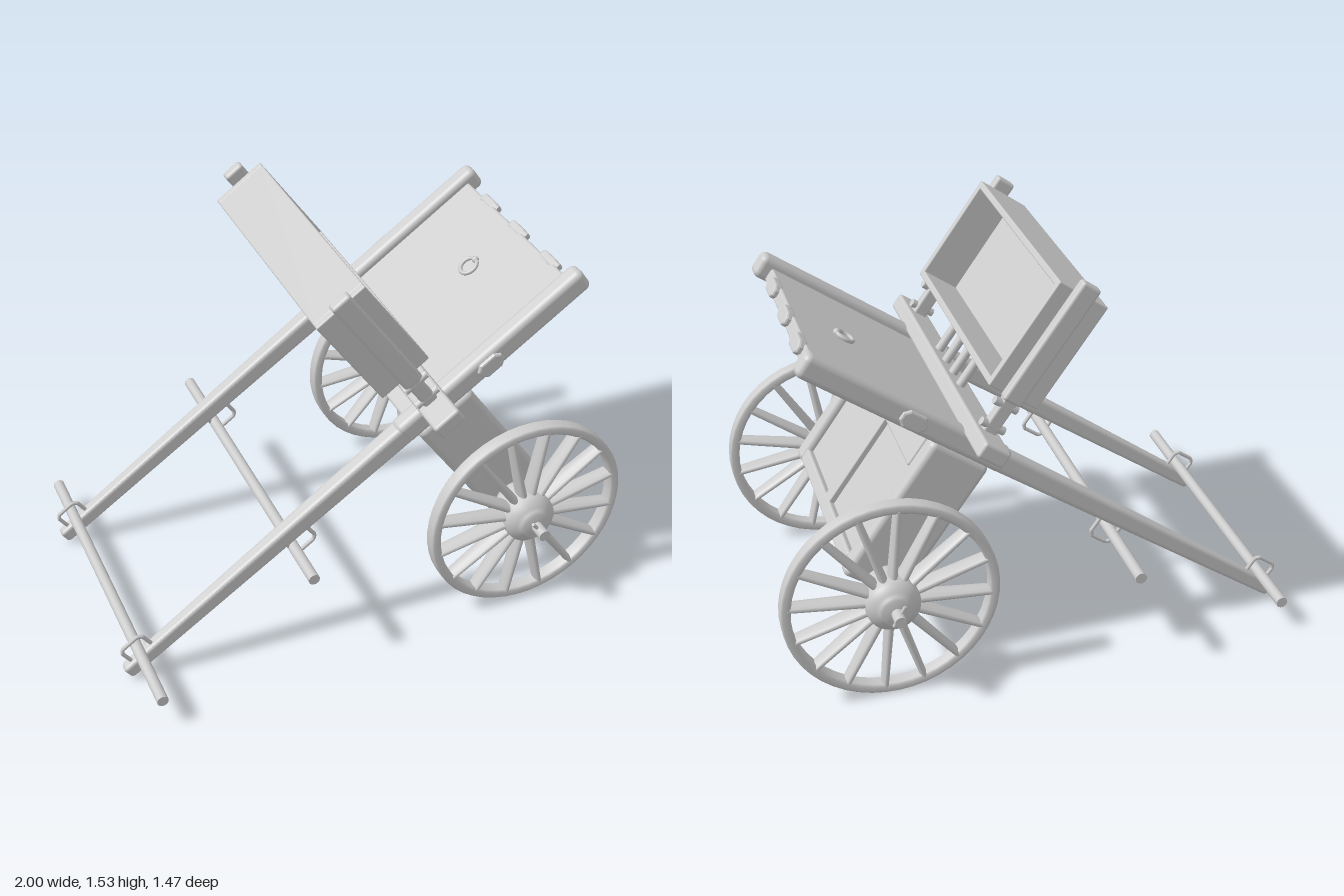
import * as THREE from 'three';
import { RoundedBoxGeometry } from 'three/addons/geometries/RoundedBoxGeometry.js';

const mat = new THREE.MeshStandardMaterial({ color: 0xcccccc });

export function createModel() {
  const model = new THREE.Group();
  // Tilted frame: x runs up along the shafts, y away from them, origin on the axle
  const cart = new THREE.Group();
  cart.name = 'cart';
  cart.position.set(0.59, 0.41, 0);
  cart.rotation.z = THREE.MathUtils.degToRad(35.3);
  model.add(cart);

  function add(name, geometry, x = 0, y = 0, z = 0, parent = cart) {
    const mesh = new THREE.Mesh(geometry, mat);
    mesh.name = name;
    mesh.position.set(x, y, z);
    parent.add(mesh);
    return mesh;
  }
  // Rounded beam given by its limits on each axis
  function beam(name, [x0, x1], [y0, y1], [z0, z1], r = 0.01) {
    const g = new RoundedBoxGeometry(x1 - x0, y1 - y0, z1 - z0, 3, r);
    return add(name, g, (x0 + x1) / 2, (y0 + y1) / 2, (z0 + z1) / 2);
  }
  function mirrored(name, xs, ys, [z0, z1], r) {
    beam(name, xs, ys, [z0, z1], r);
    beam(name, xs, ys, [-z1, -z0], r);
  }
  function rod(name, radius, z0, z1, x, y) {
    const g = new THREE.CylinderGeometry(radius, radius, z1 - z0, 16).rotateX(Math.PI / 2);
    return add(name, g, x, y, (z0 + z1) / 2);
  }

  // Shafts: straight upper half, lower half tapering to the handles
  for (const s of [-1, 1]) {
    beam('upperShaft', [-0.15, 0.74], [0.562, 0.658], [s * 0.425 - 0.039, s * 0.425 + 0.039], 0.025);
    const L = 1.5;
    const g = new RoundedBoxGeometry(L, 0.09, 0.074, 3, 0.02);
    const p = g.attributes.position;
    for (let i = 0; i < p.count; i++) {
      const k = THREE.MathUtils.lerp(0.65, 1, p.getX(i) / L + 0.5);
      p.setY(i, p.getY(i) * k);
      p.setZ(i, p.getZ(i) * k);
    }
    g.computeVertexNormals();
    add('lowerShaft', g, -0.755, 0.607, s * 0.425);
  }

  // Cross rods at the handles, held by wire staples
  rod('handleRod', 0.022, -0.65, 0.71, -1.412, 0.65);
  rod('supportRod', 0.022, -0.735, 0.63, -0.729, 0.53);
  function staple(x, y, s) {
    const path = new THREE.CurvePath();
    const pts = [[-0.05, -0.045], [-0.05, 0.03], [-0.035, 0.045], [0.035, 0.045], [0.05, 0.03], [0.05, -0.045]]
      .map(([a, b]) => new THREE.Vector3(a, b * s, 0));
    for (let i = 1; i < pts.length; i++) path.add(new THREE.LineCurve3(pts[i - 1], pts[i]));
    for (const z of [-0.425, 0.425]) add('staple', new THREE.TubeGeometry(path, 40, 0.008, 8), x, y, z);
  }
  staple(-1.41, 0.66, 1);
  staple(-0.69, 0.535, -1);

  // Deck board with its end bolts and pull ring
  beam('deckBoard', [-0.1, 0.69], [0.57, 0.625], [-0.395, 0.395]);
  const lens = (a, b, depth) => {
    const shape = new THREE.Shape([[-a, -b * 0.4], [-a * 0.6, -b], [a * 0.6, -b], [a, -b * 0.4],
      [a, b * 0.4], [a * 0.6, b], [-a * 0.6, b], [-a, b * 0.4]].map((q) => new THREE.Vector2(...q)));
    return new THREE.ExtrudeGeometry(shape, {
      depth, bevelThickness: 0.008, bevelSize: 0.008, bevelOffset: -0.008, bevelSegments: 2,
    }).translate(0, 0, -depth / 2);
  };
  for (const z of [-0.225, 0.005, 0.25]) add('endBolt', lens(0.06, 0.028, 0.02).rotateY(Math.PI / 2), 0.692, 0.6, z);
  for (const z of [-0.463, 0.463]) add('sideBolt', lens(0.055, 0.034, 0.012), 0.27, 0.607, z);
  add('pullRing', new THREE.TorusGeometry(0.036, 0.008, 10, 28).rotateX(Math.PI / 2), 0.46, 0.632, 0);
  add('ringEye', new THREE.SphereGeometry(0.014, 12, 8), 0.495, 0.632, 0);

  // Body box below the deck
  mirrored('bodyPost', [-0.1, 0.155], [-0.045, 0.57], [0.387, 0.463], 0.025);
  beam('bodyPanels', [-0.08, 0.125], [-0.02, 0.575], [-0.39, 0.39]);
  beam('bottomRail', [-0.1, 0.15], [-0.035, 0.02], [-0.39, 0.39]);
  beam('topRail', [-0.1, 0.155], [0.42, 0.572], [-0.39, 0.39]);
  beam('centreStile', [0.1, 0.148], [-0.02, 0.44], [-0.028, 0.036], 0.006);

  // Cross beam on the shafts
  beam('crossBeam', [-0.037, 0.077], [0.643, 0.707], [-0.633, 0.633], 0.012);

  // Backrest: posts, spindles and a shallow tray open to the front
  mirrored('backPost', [-0.018, 0.062], [0.84, 1.345], [0.485, 0.53], 0.012);
  mirrored('backPostFoot', [-0.008, 0.05], [0.69, 0.87], [0.475, 0.515], 0.01);
  for (const z of [-0.5, 0.5]) {
    const peg = new THREE.CylinderGeometry(0.016, 0.016, 0.1, 12).rotateZ(Math.PI / 2);
    add('postPeg', peg, 0.025, 0.82, z);
    add('footPeg', peg, 0.02, 0.73, z);
  }
  for (const z of [-0.15, -0.05, 0.05, 0.15]) {
    add('spindle', new THREE.CylinderGeometry(0.018, 0.018, 0.18, 14), 0.03, 0.785, z);
  }
  mirrored('traySide', [-0.1, 0.12], [0.852, 1.298], [0.46, 0.488], 0.006);
  beam('trayTop', [-0.1, 0.12], [1.272, 1.298], [-0.465, 0.465], 0.006);
  beam('trayBottom', [-0.1, 0.12], [0.852, 0.878], [-0.465, 0.465], 0.006);
  beam('trayBack', [-0.08, -0.035], [0.86, 1.29], [-0.47, 0.47], 0.006);

  // Wheels with tapering spokes and turned hubs
  rod('axle', 0.022, -0.73, 0.735, 0, 0);
  const rimProfile = [[0.368, -0.022], [0.376, -0.03], [0.398, -0.03], [0.405, -0.022],
    [0.405, 0.022], [0.398, 0.03], [0.376, 0.03], [0.368, 0.022], [0.368, -0.022]];
  const hubProfile = [[0.001, -0.095], [0.06, -0.095], [0.08, -0.088], [0.098, -0.065], [0.102, -0.04], [0.102, 0.04],
    [0.098, 0.058], [0.075, 0.078], [0.06, 0.084], [0.055, 0.1], [0.001, 0.102]];
  const turned = (profile) => new THREE.LatheGeometry(profile.map((q) => new THREE.Vector2(...q)), 48).rotateX(Math.PI / 2);
  const spoke = new THREE.CylinderGeometry(0.014, 0.018, 0.3, 10).scale(1, 1, 2.3).translate(0, 0.23, 0);
  for (const s of [-1, 1]) {
    const wheel = new THREE.Group();
    wheel.name = 'wheel';
    wheel.position.z = s * 0.572;
    if (s < 0) wheel.rotation.y = Math.PI;
    cart.add(wheel);
    add('rim', turned(rimProfile), 0, 0, 0, wheel);
    add('hub', turned(hubProfile), 0, 0, 0, wheel);
    for (let i = 0; i < 16; i++) {
      add('spoke', spoke, 0, 0, 0, wheel).rotation.z = (i / 16) * Math.PI * 2 + (s < 0 ? 0.13 : 0);
    }
    const pin = add('linchpin', new THREE.CylinderGeometry(0.007, 0.007, 0.09, 8), 0, 0.005, 0.125, wheel);
    pin.rotation.z = 0.1;
  }
  return model;
}
